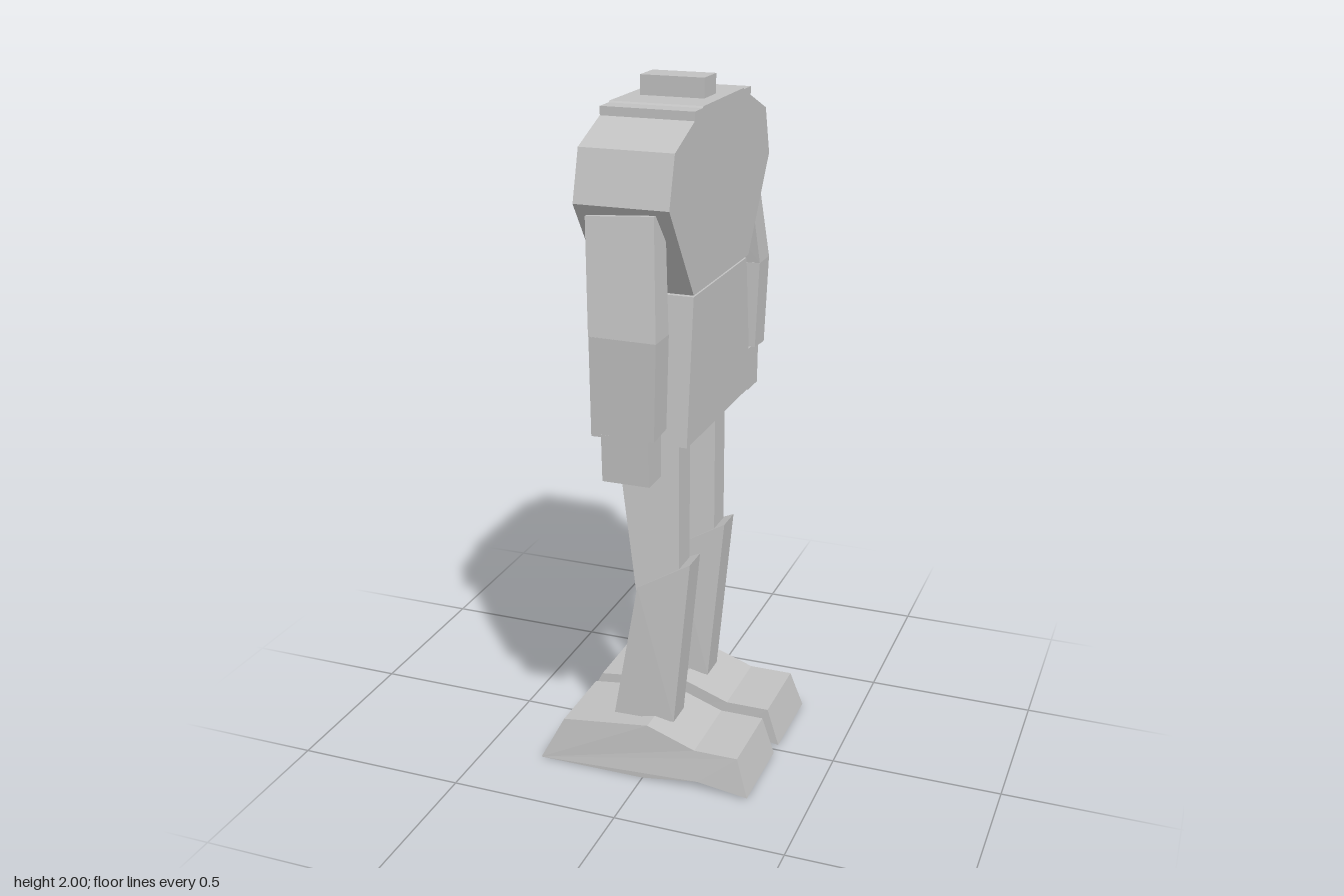
import * as THREE from 'three';
import { ConvexGeometry } from 'three/addons/geometries/ConvexGeometry.js';

const grey = new THREE.MeshStandardMaterial({ color: 0xc2c2c2 });
grey.name = 'grey';

function add(parent, name, geometry) {
  const mesh = new THREE.Mesh(geometry, grey);
  mesh.name = name;
  parent.add(mesh);
  return mesh;
}

// Faceted solid around corner points, mirrored in z by side.
function solid(points, side = 1) {
  return new ConvexGeometry(points.map(([x, y, z]) => new THREE.Vector3(x, y, z * side)));
}

function block(x0, x1, y0, y1, z0, z1) {
  return new THREE.BoxGeometry(x1 - x0, y1 - y0, z1 - z0)
    .translate((x0 + x1) / 2, (y0 + y1) / 2, (z0 + z1) / 2);
}

function extrude(points, depth) {
  const shape = new THREE.Shape(points.map(([a, b]) => new THREE.Vector2(a, b)));
  return new THREE.ExtrudeGeometry(shape, { depth, bevelEnabled: false });
}

// Symmetric (z, y) half profile, given from bottom to top, extruded between x0 and x1.
function slab(half, x0, x1) {
  const mirrored = half.map(([z, y]) => [-z, y]).reverse();
  return extrude([...half, ...mirrored], x1 - x0).rotateY(-Math.PI / 2).translate(x1, 0, 0);
}

// Leg segment: narrow face towards +x, wide face towards -x.
function legSegment(profile, side) {
  const points = [];
  for (const [x, y, isFront] of profile) {
    const [inner, outer] = isFront ? [0.107, 0.193] : [0.073, 0.234];
    points.push([x, y, inner], [x, y, outer]);
  }
  return solid(points, side);
}

// Foot with concave sole and instep; its outer wall leans in towards the top.
function foot(side) {
  const inner = 0.023, outer = 0.283;
  const g = extrude([
    [-0.325, 0], [0, 0], [0.17, 0.024], [0.322, 0.003],
    [0.285, 0.115], [0.155, 0.115], [0.01, 0.167], [-0.255, 0.135],
  ], outer - inner).translate(0, 0, side > 0 ? inner : -outer);
  const p = g.attributes.position;
  for (let i = 0; i < p.count; i++) {
    if (p.getY(i) < 0.1) continue;
    const isOuter = Math.abs(p.getZ(i)) > 0.15;
    p.setZ(i, side * (isOuter ? 0.266 : 0.026));
  }
  g.computeVertexNormals();
  return g;
}

export function createModel() {
  const model = new THREE.Group();
  model.name = 'robot';

  // Body
  add(model, 'torso', slab([
    [0.23, 1.464], [0.41, 1.725], [0.37, 1.862], [0.227, 1.918],
    [0.227, 1.942], [0.168, 1.942], [0.163, 1.946],
  ], -0.125, 0.135));
  add(model, 'pelvis', slab([[0.272, 1.05], [0.222, 1.457]], -0.115, 0.132));
  add(model, 'waist', block(-0.1, 0.115, 1.44, 1.48, -0.165, 0.165));
  add(model, 'head', block(-0.085, 0.096, 1.93, 2.0, -0.047, 0.047));

  // Limbs on both sides
  for (const side of [1, -1]) {
    const limbs = new THREE.Group();
    limbs.name = side > 0 ? 'nearLimbs' : 'farLimbs';
    model.add(limbs);

    add(limbs, 'upperArm', solid([
      [-0.095, 1.695, 0.404], [0.095, 1.71, 0.412], [-0.095, 1.695, 0.325], [0.095, 1.71, 0.333],
      [-0.067, 1.397, 0.462], [0.122, 1.4, 0.473], [-0.067, 1.397, 0.374], [0.122, 1.4, 0.382],
    ], side));
    add(limbs, 'forearm', solid([
      [-0.066, 1.398, 0.462], [0.122, 1.4, 0.473], [-0.066, 1.398, 0.374], [0.122, 1.4, 0.38],
      [-0.064, 1.127, 0.46], [0.113, 1.133, 0.465], [-0.064, 1.135, 0.371], [0.113, 1.14, 0.376],
    ], side));
    add(limbs, 'hand', solid([
      [-0.036, 1.003, 0.457], [0.096, 1.003, 0.457], [-0.036, 1.003, 0.37], [0.096, 1.003, 0.37],
      [-0.036, 1.135, 0.462], [0.096, 1.135, 0.462], [-0.036, 1.135, 0.37], [0.096, 1.135, 0.37],
    ], side));

    add(limbs, 'thigh', legSegment([
      [-0.091, 1.06, false], [0.081, 1.06, true], [0.081, 0.62, true], [-0.034, 0.58, false],
    ], side));
    add(limbs, 'shin', legSegment([
      [-0.031, 0.59, false], [0.113, 0.665, true], [0.064, 0.15, true], [-0.105, 0.172, false],
    ], side));
    add(limbs, 'foot', foot(side));
  }
  return model;
}
